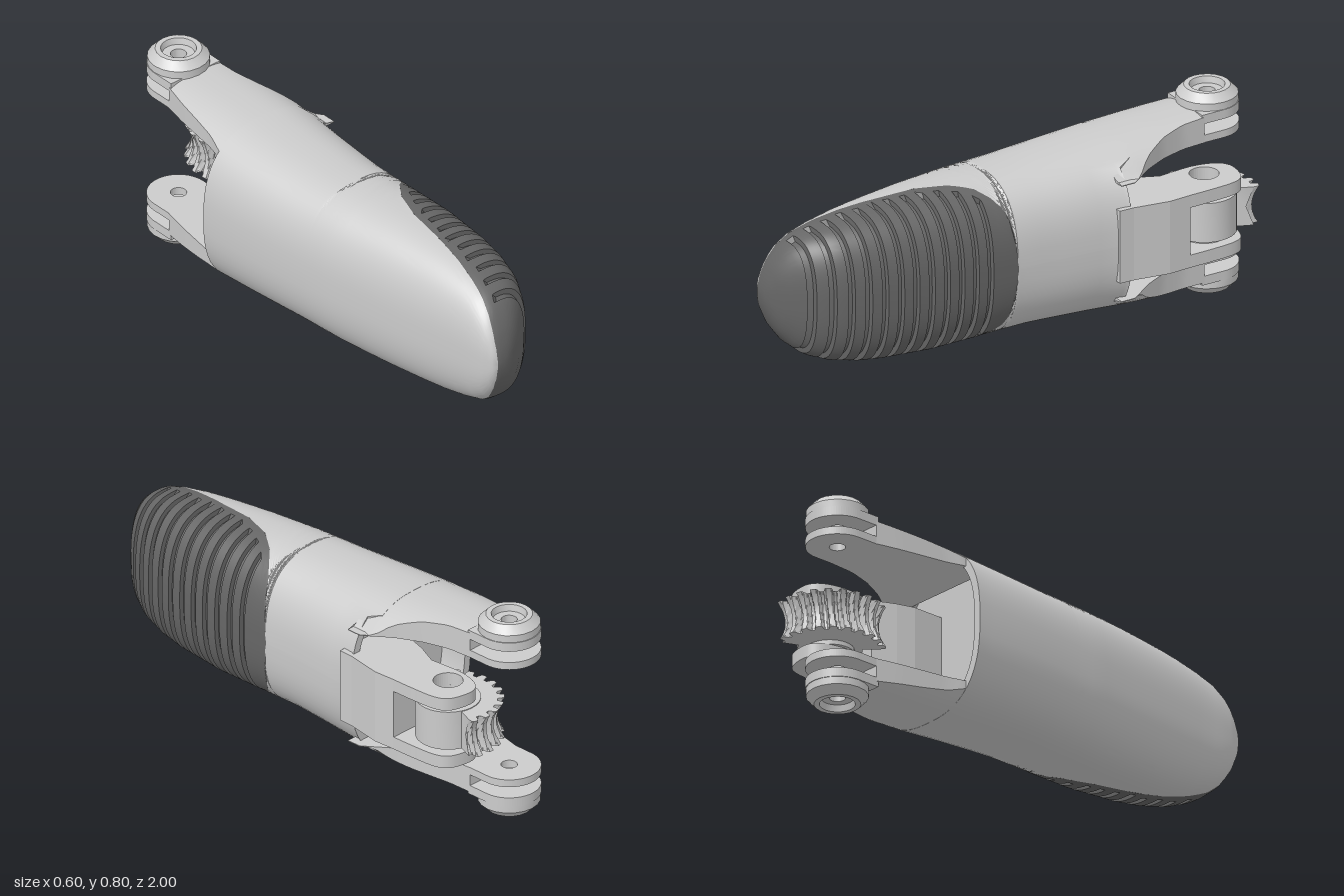
import * as THREE from 'three';
import { toCreasedNormals } from 'three/addons/utils/BufferGeometryUtils.js';

const MID = 0.4; // height of the symmetry plane
const N = 2.6; // roundness of the cross-section

// Side outlines and half height along z, as [z, value]
const LEFT = [[-1, -0.3], [-0.43, -0.3], [-0.2, -0.29], [0.2, -0.255], [0.5, -0.215], [0.8, -0.172], [0.9, -0.16], [0.95, -0.15], [0.99, -0.13], [1, -0.115]];
const RIGHT = [[-1, 0.28], [-0.43, 0.27], [-0.2, 0.25], [0, 0.235], [0.1, 0.233], [0.4, 0.235], [0.6, 0.218], [0.7, 0.2], [0.8, 0.17], [0.88, 0.125], [0.93, 0.07], [0.97, 0.015], [0.99, -0.03], [1, -0.06]];
const HEIGHT = [[-1, 0.345], [-0.6, 0.337], [-0.43, 0.33], [-0.2, 0.317], [0, 0.31], [0.2, 0.311], [0.4, 0.308], [0.6, 0.295], [0.7, 0.283], [0.8, 0.262], [0.88, 0.232], [0.93, 0.19], [0.97, 0.13], [0.99, 0.075], [1, 0.03]];
// Line where the grip pad meets the shell
const SEAM = [[0.09, 0.24], [0.1, 0.225], [0.13, 0.18], [0.2, 0.1], [0.28, 0.042], [0.4, 0], [0.55, -0.02], [0.7, -0.045], [0.85, -0.075], [0.98, -0.11], [1, -0.112]];
// Plan outline of the rear arms
const ARM_LEFT = [[-0.8, -0.148], [-0.7, -0.17], [-0.5, -0.203], [-0.43, -0.225], [-0.34, -0.225]];
const ARM_RIGHT = [[-0.8, 0.088], [-0.7, 0.095], [-0.6, 0.125], [-0.5, 0.175], [-0.4, 0.25], [-0.34, 0.25]];

function at(table, z) {
  if (z <= table[0][0]) return table[0][1];
  for (let i = 1; i < table.length; i++) {
    const [z0, v0] = table[i - 1], [z1, v1] = table[i];
    if (z <= z1) return v0 + (v1 - v0) * (z - z0) / (z1 - z0);
  }
  return table[table.length - 1][1];
}

function section(z) {
  const l = at(LEFT, z), r = at(RIGHT, z);
  return { c: (l + r) / 2, a: (r - l) / 2, h: at(HEIGHT, z) };
}

function pointAt(z, angle, inset = 0) {
  const { c, a, h } = section(z);
  const p = (v) => Math.sign(v) * Math.abs(v) ** (2 / N);
  return [c + Math.max(a - inset, 0.005) * p(Math.cos(angle)), MID + Math.max(h - inset, 0.005) * p(Math.sin(angle)), z];
}

// Angle at which the seam cuts the section
function seamAngle(z) {
  if (z <= 0.09) return 0;
  const { c, a } = section(z);
  const t = THREE.MathUtils.clamp((at(SEAM, z) - c) / a, -1, 1);
  return Math.acos(Math.sign(t) * Math.abs(t) ** (N / 2));
}

// Closed solid through equal-sized loops
function loft(rings, crease = 0.6) {
  const n = rings[0].length, pos = rings.flat(2), index = [];
  const tri = (a, b, c) => index.push(a, b, c);
  for (let i = 0; i < rings.length - 1; i++) {
    for (let j = 0; j < n; j++) {
      const a = i * n + j, b = i * n + (j + 1) % n;
      tri(a, b, b + n);
      tri(a, b + n, a + n);
    }
  }
  [0, rings.length - 1].forEach((r, end) => {
    const m = pos.length / 3;
    for (let k = 0; k < 3; k++) pos.push(rings[r].reduce((s, p) => s + p[k], 0) / n);
    for (let j = 0; j < n; j++) {
      const a = r * n + j, b = r * n + (j + 1) % n;
      if (end) tri(a, b, m); else tri(b, a, m);
    }
  });
  // Turn the faces outward
  let volume = 0;
  const v = (i) => new THREE.Vector3(pos[i * 3], pos[i * 3 + 1] - MID, pos[i * 3 + 2]);
  for (let i = 0; i < index.length; i += 3) volume += v(index[i]).dot(v(index[i + 1]).cross(v(index[i + 2])));
  if (volume < 0) index.reverse();
  const g = new THREE.BufferGeometry();
  g.setAttribute('position', new THREE.Float32BufferAttribute(pos, 3));
  g.setIndex(index);
  return toCreasedNormals(g, crease);
}

// Plan shape (x, -z) raised from y0 to y1
function slab(shape, y0, y1) {
  return new THREE.ExtrudeGeometry(shape, { depth: y1 - y0, bevelEnabled: false, curveSegments: 20 })
    .rotateX(-Math.PI / 2).translate(0, y0, 0);
}

function hole(shape, x, y, r) {
  shape.holes.push(new THREE.Path().absarc(x, y, r, 0, Math.PI * 2, true));
  return shape;
}

// Copy reflected in the symmetry plane
function reflect(geometry) {
  const g = geometry.index ? geometry.toNonIndexed() : geometry.clone();
  g.scale(1, -1, 1).translate(0, 2 * MID, 0);
  for (const name of ['position', 'normal']) {
    const s = g.attributes[name].array;
    for (let i = 0; i < s.length; i += 9) {
      for (let k = 0; k < 3; k++) [s[i + 3 + k], s[i + 6 + k]] = [s[i + 6 + k], s[i + 3 + k]];
    }
  }
  return g;
}

export function createModel() {
  const model = new THREE.Group();
  const grey = new THREE.MeshStandardMaterial({ color: 0xcccccc });
  const dark = new THREE.MeshStandardMaterial({ color: 0x666666 });
  const add = (name, geometry, material = grey) => {
    const mesh = new THREE.Mesh(geometry, material);
    mesh.name = name;
    model.add(mesh);
  };
  const addPair = (name, geometry) => {
    add('upper' + name, geometry);
    add('lower' + name, reflect(geometry));
  };

  // Shell with a hollow rear, cut along the pad seam
  const SEG = 56;
  const shellRing = (z, inset = 0) => {
    const s = seamAngle(z);
    return Array.from({ length: SEG + 1 }, (_, j) => pointAt(z, s + (2 * Math.PI - 2 * s) * j / (SEG + 1e-3), inset));
  };
  const rim = (inset) => shellRing(-0.43, inset).map(([x, y, z]) => [x, y, x > 0.17 ? -0.375 : z]);
  const rings = [shellRing(-0.32, 0.03), rim(0.03), rim(0), shellRing(-0.36)];
  for (const z of [-0.25, -0.1, 0, 0.085, 0.095, 0.1, 0.115, 0.13, 0.16, 0.2, 0.24, 0.28, 0.34, 0.4, 0.48, 0.55, 0.62, 0.7, 0.76, 0.8, 0.85, 0.88, 0.91, 0.93, 0.95, 0.97, 0.98, 0.99, 1]) rings.push(shellRing(z));
  add('shell', loft(rings));

  // Grip pad with grooves that stop short of the seam
  const padRing = (z, depth) => {
    const s = seamAngle(z);
    return Array.from({ length: SEG + 1 }, (_, j) => {
      const angle = -s + 2 * s * j / SEG;
      const p = pointAt(z, angle);
      return depth && p[0] > at(SEAM, z) + 0.045 ? pointAt(z, angle, depth) : p;
    });
  };
  const pad = [0.091, 0.1, 0.115, 0.13, 0.16].map((z) => padRing(z, 0));
  for (let i = 0; i < 12; i++) {
    const z = 0.2 + i * 0.0625;
    pad.push(padRing(z, 0), padRing(z + 0.002, 0.018), padRing(z + 0.022, 0.018), padRing(z + 0.024, 0), padRing(z + 0.043, 0));
  }
  for (const z of [0.95, 0.97, 0.98, 0.99, 1]) pad.push(padRing(z, 0));
  add('gripPad', loft(pad), dark);

  // Rear arms, following the curve of the shell on the outside
  const armRings = [];
  for (let i = 0; i <= 16; i++) {
    const z = -0.34 - 0.46 * i / 16, l = at(ARM_LEFT, z), r = at(ARM_RIGHT, z);
    const { c, a, h } = section(z);
    const ring = [[r, 0.63, z], [l, 0.63, z]];
    for (let j = 0; j <= 16; j++) {
      const x = l + (r - l) * j / 16;
      const y = MID + h * (1 - Math.min(1, Math.abs((x - c) / a)) ** N) ** (1 / N) - 0.001;
      ring.push([x, Math.max(y, 0.633), z]);
    }
    armRings.push(ring);
  }
  addPair('Arm', loft(armRings, 0.5));

  // Forked arm ends
  const PX = -0.03, PZ = 0.885, PR = 0.117;
  const plate = () => hole(new THREE.Shape().moveTo(PX + PR, 0.79).lineTo(PX + PR, PZ)
    .absarc(PX, PZ, PR, 0, Math.PI, false).lineTo(PX - PR, 0.79).closePath(), PX, PZ, 0.03);
  addPair('ForkInnerPlate', slab(plate(), 0.63, 0.66));
  addPair('ForkOuterPlate', slab(plate(), 0.705, 0.741));

  // Pivot bosses with a recessed hole
  const boss = [[0.03, 0.72], [0.115, 0.72], [0.115, 0.77], [0.086, 0.8], [0.066, 0.8], [0.06, 0.775], [0.03, 0.775], [0.03, 0.72]];
  addPair('PivotBoss', toCreasedNormals(new THREE.LatheGeometry(boss.map((p) => new THREE.Vector2(...p)), 20), 0.4).translate(PX, 0, -PZ));

  // Centre lug: solid root and two cheeks around the slot
  const GX = 0.155, GZ = 0.755;
  const root = new THREE.Shape([[0.27, 0.32], [0.272, 0.38], [0.295, 0.52], [0.29, 0.61], [0.09, 0.61], [0.05, 0.52], [0.03, 0.45], [0.03, 0.32]].map((p) => new THREE.Vector2(...p)));
  add('lugRoot', slab(root, 0.255, 0.545));
  const cheek = new THREE.Shape().moveTo(0.29, 0.6);
  cheek.splineThru([[0.288, 0.7], [0.28, 0.8], [0.255, 0.85], [0.2, 0.872], [0.14, 0.872], [0.1, 0.835], [0.08, 0.76], [0.082, 0.68], [0.09, 0.6]].map((p) => new THREE.Vector2(...p)));
  addPair('LugCheek', slab(hole(cheek.closePath(), GX, GZ, 0.055), 0.495, 0.545));

  // Hollow spool on the lug pin
  const spool = [[0.055, 0.305], [0.09, 0.305], [0.09, 0.322], [0.12, 0.322], [0.12, 0.478], [0.09, 0.478], [0.09, 0.495], [0.055, 0.495], [0.055, 0.305]];
  add('spool', toCreasedNormals(new THREE.LatheGeometry(spool.map((p) => new THREE.Vector2(...p)), 32), 0.5).translate(GX, 0, -GZ));

  // Worm wheel sector with a hollowed rim and slanted teeth
  const gear = [], TEETH = 10, STEPS = 120, START = 0.38, SWEEP = 2.75;
  for (let i = 0; i <= STEPS; i++) {
    const turn = START - SWEEP * i / STEPS;
    const put = (r, y) => [GX + r * Math.sin(turn), y, -GZ - r * Math.cos(turn)];
    const ring = [put(0.1, 0.475), put(0.1, 0.322)];
    for (let j = 0; j <= 10; j++) {
      const v = j / 5 - 1;
      const phase = (i / STEPS * TEETH + 0.18 * v + 10) % 1;
      const cut = THREE.MathUtils.smoothstep(Math.abs(phase - 0.5), 0.2, 0.36);
      ring.push(put(0.18 + 0.026 * v * v - 0.026 * cut, 0.3985 + 0.0765 * v));
    }
    gear.push(ring);
  }
  add('wormWheel', loft(gear, 0.5));

  return model;
}
